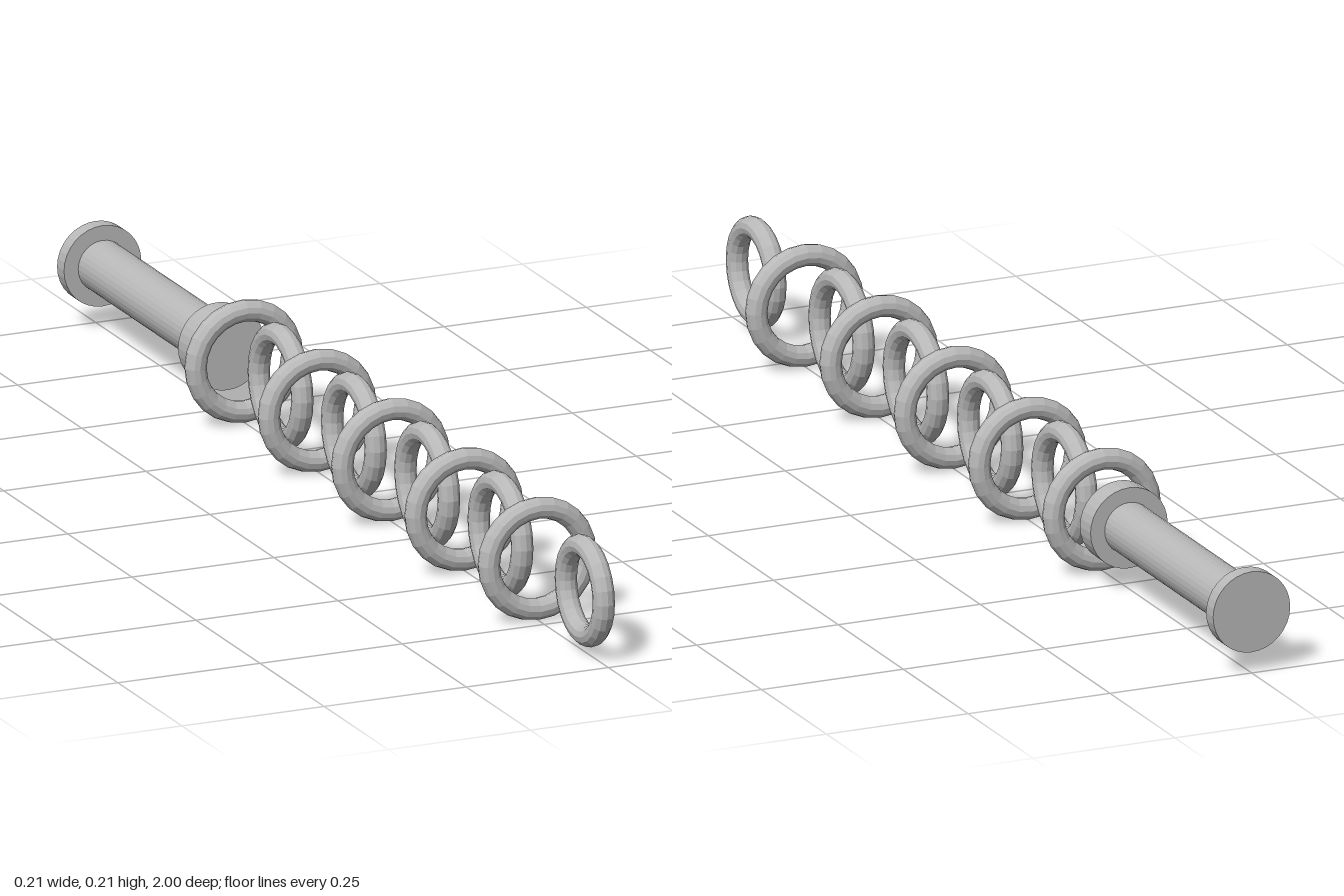
import * as THREE from 'three';

const AXIS_Y = 0.105; // height of the common centre line

export function createModel() {
  const model = new THREE.Group();
  model.name = 'ringChainWithHandle';
  const steel = new THREE.MeshStandardMaterial({ color: 0xb8b8b8, flatShading: true });
  steel.name = 'grey steel';

  const add = (name, geometry, z) => {
    const mesh = new THREE.Mesh(geometry, steel);
    mesh.name = name;
    mesh.position.set(0, AXIS_Y, z);
    model.add(mesh);
    return mesh;
  };

  // Chain of rings, alternately facing forward and sideways
  const ring = new THREE.TorusGeometry(0.085, 0.018, 12, 24);
  for (let i = 0; i < 9; i++) {
    const facesForward = i % 2 === 0;
    const link = add(facesForward ? 'crossRing' : 'uprightRing', ring, 0.722 - i * 0.143);
    if (!facesForward) link.rotation.y = Math.PI / 2;
  }

  // Smaller ring at the free end
  const endRing = add('endRing', new THREE.TorusGeometry(0.074, 0.018, 12, 24), 0.908);
  endRing.rotation.y = Math.PI / 2;

  // Handle: shaft between two flat caps, each given by its z range
  const rod = (name, radius, z0, z1) => {
    const geometry = new THREE.CylinderGeometry(radius, radius, z1 - z0, 32);
    geometry.rotateX(Math.PI / 2);
    add(name, geometry, (z0 + z1) / 2);
  };
  rod('handleShaft', 0.043, -0.973, -0.528);
  rod('handleFrontCap', 0.068, -0.528, -0.487);
  rod('handleEndCap', 0.068, -1, -0.973);

  return model;
}
